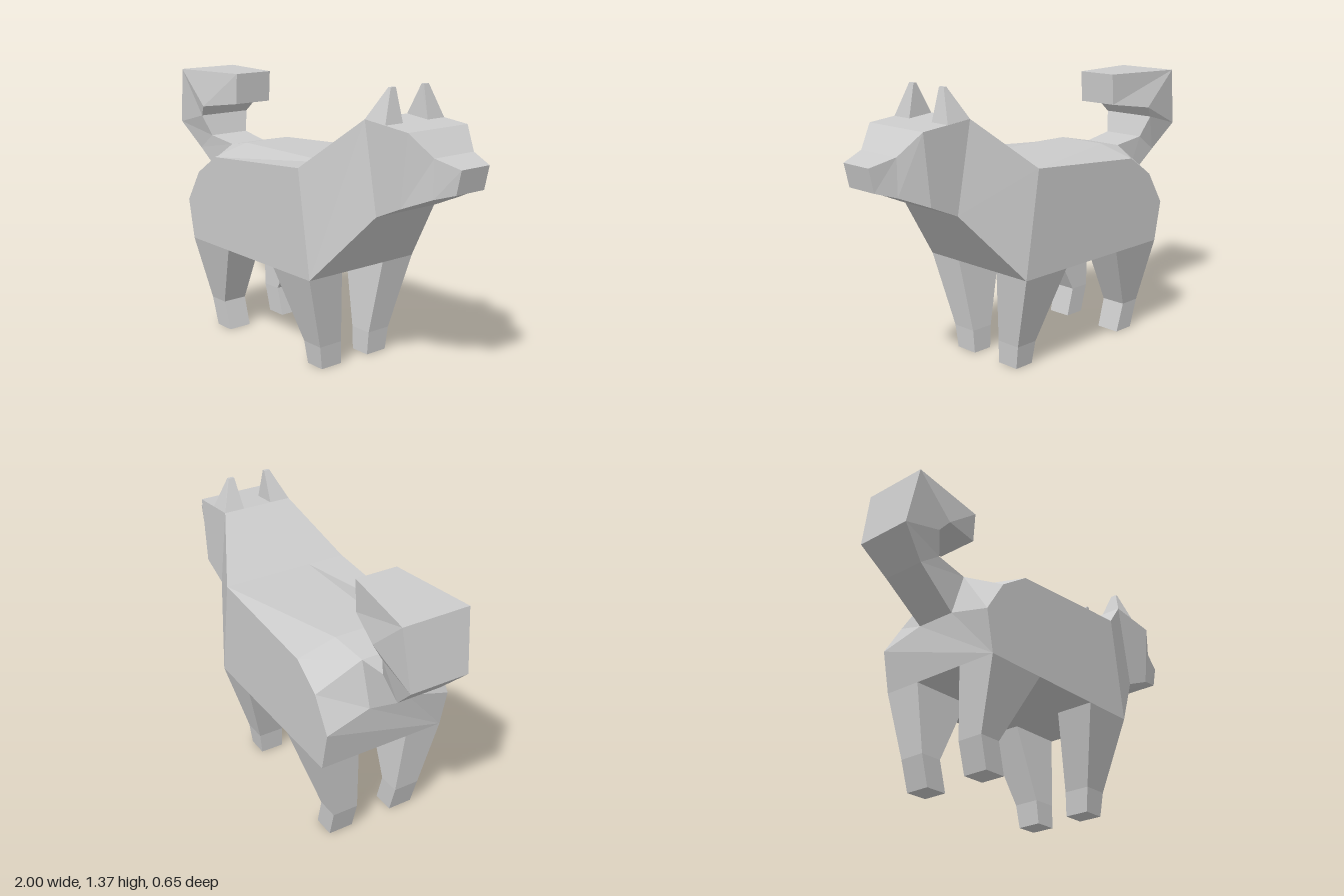
import * as THREE from 'three';

const material = new THREE.MeshStandardMaterial({ color: 0xcccccc, flatShading: true });

// Skins a list of matching point rings with flat quads and closes both ends.
function loft(name, rings) {
  const out = [];
  const tri = (a, b, c) => out.push(...a, ...b, ...c);
  const cap = (r) => {
    for (let j = 1; j < r.length - 1; j++) tri(r[0], r[j], r[j + 1]);
  };
  cap(rings[0]);
  for (let i = 0; i < rings.length - 1; i++) {
    const p = rings[i], q = rings[i + 1], n = p.length;
    for (let j = 0; j < n; j++) {
      const k = (j + 1) % n;
      tri(p[j], q[j], q[k]);
      tri(p[j], q[k], p[k]);
    }
  }
  cap([...rings[rings.length - 1]].reverse());
  const g = new THREE.BufferGeometry();
  g.setAttribute('position', new THREE.Float32BufferAttribute(out, 3));
  g.computeVertexNormals();
  const mesh = new THREE.Mesh(g, material);
  mesh.name = name;
  return mesh;
}

// Completes a half ring with its mirror image across z = 0.
const mirror = (half) => [...half, ...[...half].reverse().map(([x, y, z]) => [x, y, -z])];

// Four-cornered symmetric ring: two profile points and a half width.
const band = ([x0, y0, x1, y1, w]) => mirror([[x0, y0, w], [x1, y1, w]]);

// Horizontal ring for legs and ears: height, x range, inner and outer z.
function slab([y, x0, x1, zi, zo, yFront = y], side) {
  const hi = side > 0 ? zo : -zi, lo = side > 0 ? zi : -zo;
  return [[x0, y, hi], [x1, yFront, hi], [x1, yFront, lo], [x0, y, lo]];
}

export function createModel() {
  const dog = new THREE.Group();
  dog.name = 'dog';
  const W = 0.325;

  // Torso: belly edge, flank edge and back ridge from rump to chest
  dog.add(loft('body', [
    [[-0.63, 0.48, W], [-0.67, 0.68, W], [-0.66, 0.74, 0.1]],
    [[-0.63, 0.48, W], [-0.57, 0.84, W], [-0.59, 0.955, 0.1]],
    [[-0.32, 0.48, W], [-0.42, 0.94, W], [-0.42, 0.99, 0.13]],
    [[0.32, 0.48, W], [0.24, 0.99, W], [0.24, 0.99, 0.13]],
  ].map(mirror)));

  // Neck and head, tapering to the muzzle
  dog.add(loft('neck', [
    [0.32, 0.48, 0.24, 0.99, W],
    [0.6, 0.81, 0.52, 1.23, 0.18],
  ].map(band)));
  dog.add(loft('head', [
    [0.6, 0.81, 0.52, 1.23, 0.18],
    [0.75, 0.875, 0.785, 1.205, 0.18],
    [0.88, 0.93, 0.88, 1.105, 0.12],
    [0.975, 0.96, 1.0, 1.07, 0.085],
  ].map(band)));

  // Curled tail: inner point, outer point, half width
  dog.add(loft('tail', [
    [-0.59, 0.955, -0.66, 0.74, 0.1],
    [-0.76, 0.98, -0.87, 0.9, 0.11],
    [-0.8, 1.085, -1.0, 1.03, 0.145],
    [-0.755, 1.14, -0.95, 1.32, 0.165],
    [-0.54, 1.17, -0.53, 1.325, 0.105],
  ].map(band)));

  // Paired parts, from top ring to bottom ring
  const pairs = {
    FrontLeg: [
      [0.48, 0.05, 0.32, 0.13, W],
      [0.115, 0.15, 0.27, 0.09, 0.22],
      [0, 0.16, 0.265, 0.085, 0.205],
    ],
    BackLeg: [
      [0.48, -0.63, -0.32, 0.13, W],
      [0.145, -0.6, -0.49, 0.11, 0.24],
      [0, -0.56, -0.45, 0.11, 0.235],
    ],
    Ear: [
      [1.37, 0.595, 0.61, 0.085, 0.115],
      [1.23, 0.52, 0.648, 0.075, 0.18, 1.215],
    ],
  };
  for (const [part, rings] of Object.entries(pairs)) {
    for (const side of [1, -1]) {
      dog.add(loft((side > 0 ? 'near' : 'far') + part, rings.map((r) => slab(r, side))));
    }
  }
  return dog;
}
